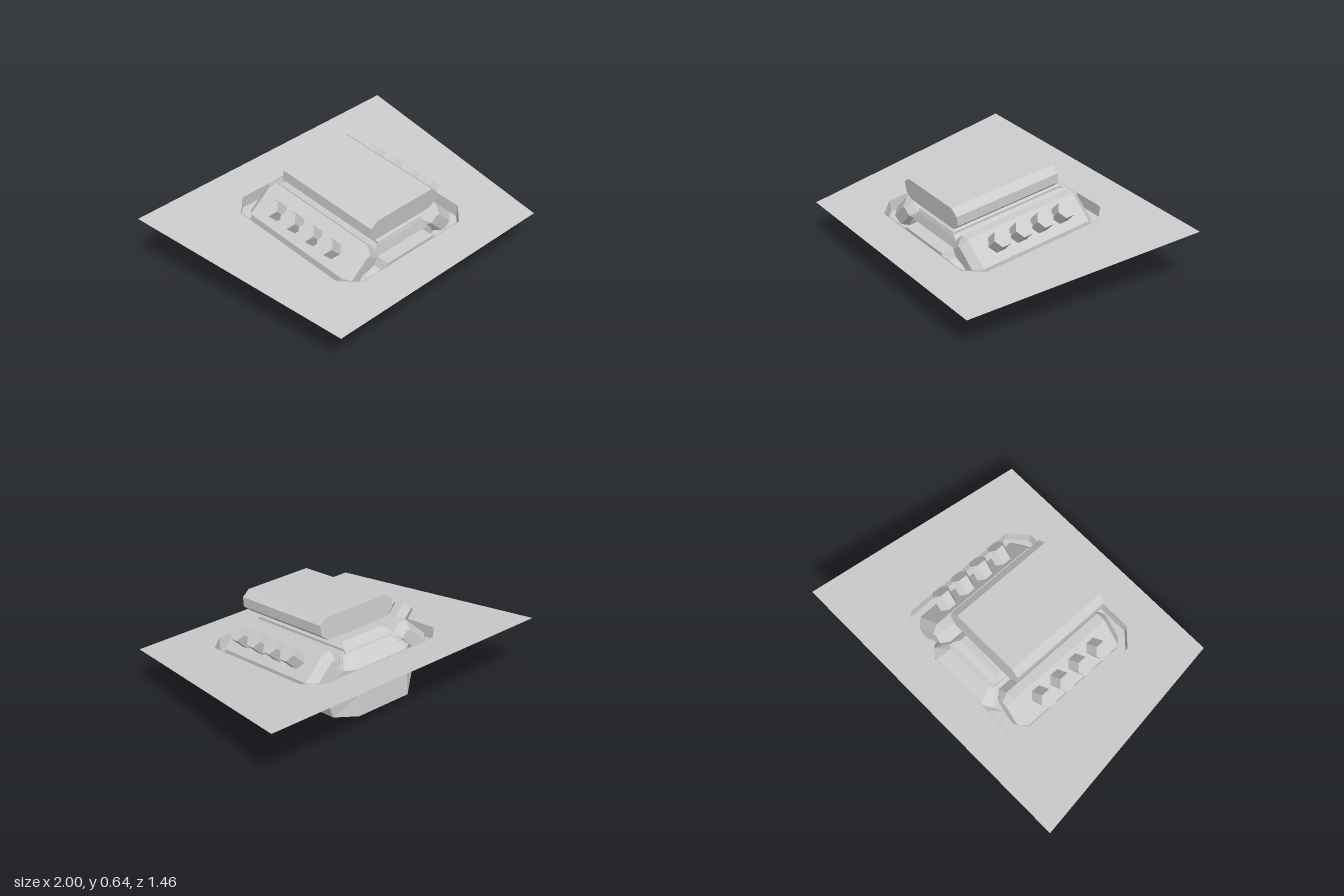
import * as THREE from 'three';

const material = new THREE.MeshStandardMaterial({ color: 0xcccccc, flatShading: true, side: THREE.DoubleSide });

function add(parent, name, geometry) {
  const mesh = new THREE.Mesh(geometry, material);
  mesh.name = name;
  parent.add(mesh);
  return mesh;
}

const shapeOf = (pts) => new THREE.Shape(pts.map(([x, y]) => new THREE.Vector2(x, y)));

// Half profile (x >= 0) mirrored into a closed symmetric outline
const mirrored = (half) => [...half, ...half.map(([x, y]) => [-x, y]).reverse()];

// Prism along z from z0 to z1, with optional bevelled ends kept inside the outline
function prism(pts, z0, z1, bevel = 0) {
  const g = new THREE.ExtrudeGeometry(shapeOf(pts), {
    depth: z1 - z0 - 2 * bevel, bevelEnabled: bevel > 0, bevelSegments: 1,
    bevelSize: bevel, bevelThickness: bevel, bevelOffset: -bevel,
  });
  return g.translate(0, 0, z0 + bevel);
}

// Stacked plan outlines joined by flat faces; each level is { y, plan: [[x, z], ...] }
function loft(levels, capTop) {
  const pos = [];
  const put = (level, i) => {
    const [x, z] = level.plan[i % level.plan.length];
    pos.push(x, level.y, z);
  };
  for (let k = 0; k + 1 < levels.length; k++) {
    const lo = levels[k], hi = levels[k + 1];
    for (let i = 0; i < lo.plan.length; i++) {
      put(lo, i); put(lo, i + 1); put(hi, i + 1);
      put(lo, i); put(hi, i + 1); put(hi, i);
    }
  }
  if (capTop) {
    const top = levels[levels.length - 1];
    for (let i = 1; i + 1 < top.plan.length; i++) { put(top, 0); put(top, i); put(top, i + 1); }
  }
  const g = new THREE.BufferGeometry();
  g.setAttribute('position', new THREE.Float32BufferAttribute(pos, 3));
  g.computeVertexNormals();
  return g;
}

export function createModel() {
  const model = new THREE.Group();
  model.name = 'engineInHood';
  model.rotation.x = 0.107; // everything leans down towards the front

  // Hood panel with an octagonal opening
  const opening = mirrored([[0.41, 0.452], [0.515, 0.352], [0.515, -0.43], [0.41, -0.53]]);
  const flat = (pts) => pts.map(([x, z]) => [x, -z]);
  const hood = shapeOf(flat([[0.82, 0.693], [1, -0.773], [-1, -0.773], [-0.82, 0.693]]));
  hood.holes.push(new THREE.Path(shapeOf(flat(opening)).getPoints()));
  add(model, 'hoodPanel', new THREE.ShapeGeometry(hood).rotateX(-Math.PI / 2)).position.y = 0.329;

  // Recessed tray under the opening
  add(model, 'trayWalls', loft([{ y: 0.255, plan: opening }, { y: 0.334, plan: opening }], false));
  add(model, 'trayFloor', new THREE.ShapeGeometry(shapeOf(flat(opening))).rotateX(-Math.PI / 2)).position.y = 0.255;

  // Block, open below, with a chamfered bell at the back: [y, side, back half width, front, back]
  const block = [
    [0.045, 0.297, 0.19, 0.36, -0.525],
    [0.17, 0.34, 0.19, 0.36, -0.527],
    [0.24, 0.3, 0.19, 0.36, -0.53],
    [0.335, 0.25, 0.19, 0.36, -0.53],
    [0.41, 0.18, 0.16, 0.34, -0.45],
  ].map(([y, w, b, zf, zb]) => ({
    y, plan: mirrored([[w, zf], [w, zb + (y > 0.3 ? 0.04 : 0.1)], [b, zb]]),
  }));
  add(model, 'engineBlock', loft(block, true));

  // Front cover
  add(model, 'frontCover', prism(mirrored([
    [0.265, 0.088], [0.335, 0.2], [0.3, 0.25], [0.21, 0.28], [0.19, 0.335],
  ]), 0.34, 0.44));

  // Intake manifold, flange plate and neck
  const rect = (w, z0, z1) => mirrored([[w, z1], [w, z0]]);
  add(model, 'intakeManifold', loft([
    { y: 0.4, plan: rect(0.18, -0.44, 0.35) },
    { y: 0.425, plan: rect(0.18, -0.42, 0.34) },
    { y: 0.45, plan: rect(0.15, -0.38, 0.3) },
  ], true));
  add(model, 'intakeNeck', new THREE.BoxGeometry(0.22, 0.04, 0.5)).position.set(0, 0.465, 0);

  // Air scoop with chamfered long edges
  add(model, 'airScoop', prism(mirrored([
    [0.225, 0.475], [0.272, 0.515], [0.272, 0.575], [0.225, 0.612],
  ]), -0.343, 0.36));

  // Cylinder heads and hexagonal exhaust stubs on both sides
  const headOutline = [[0.2, 0.34], [0.2, 0.385], [0.26, 0.44], [0.32, 0.44],
    [0.46, 0.31], [0.46, 0.27], [0.39, 0.2], [0.34, 0.2]];
  for (const side of [1, -1]) {
    const bank = new THREE.Group();
    bank.name = side > 0 ? 'leftBank' : 'rightBank';
    model.add(bank);
    add(bank, 'cylinderHead', prism(headOutline.map(([x, y]) => [side * x, y]), -0.45, 0.38, 0.045));
    for (let i = 0; i < 4; i++) {
      const stub = add(bank, 'exhaustStub', new THREE.CylinderGeometry(0.057, 0.057, 0.18, 6));
      stub.position.set(side * 0.391, 0.389, 0.188 - i * 0.148);
      stub.rotation.z = -side * Math.PI / 4;
    }
  }

  const root = new THREE.Group();
  root.add(model);
  return root;
}
